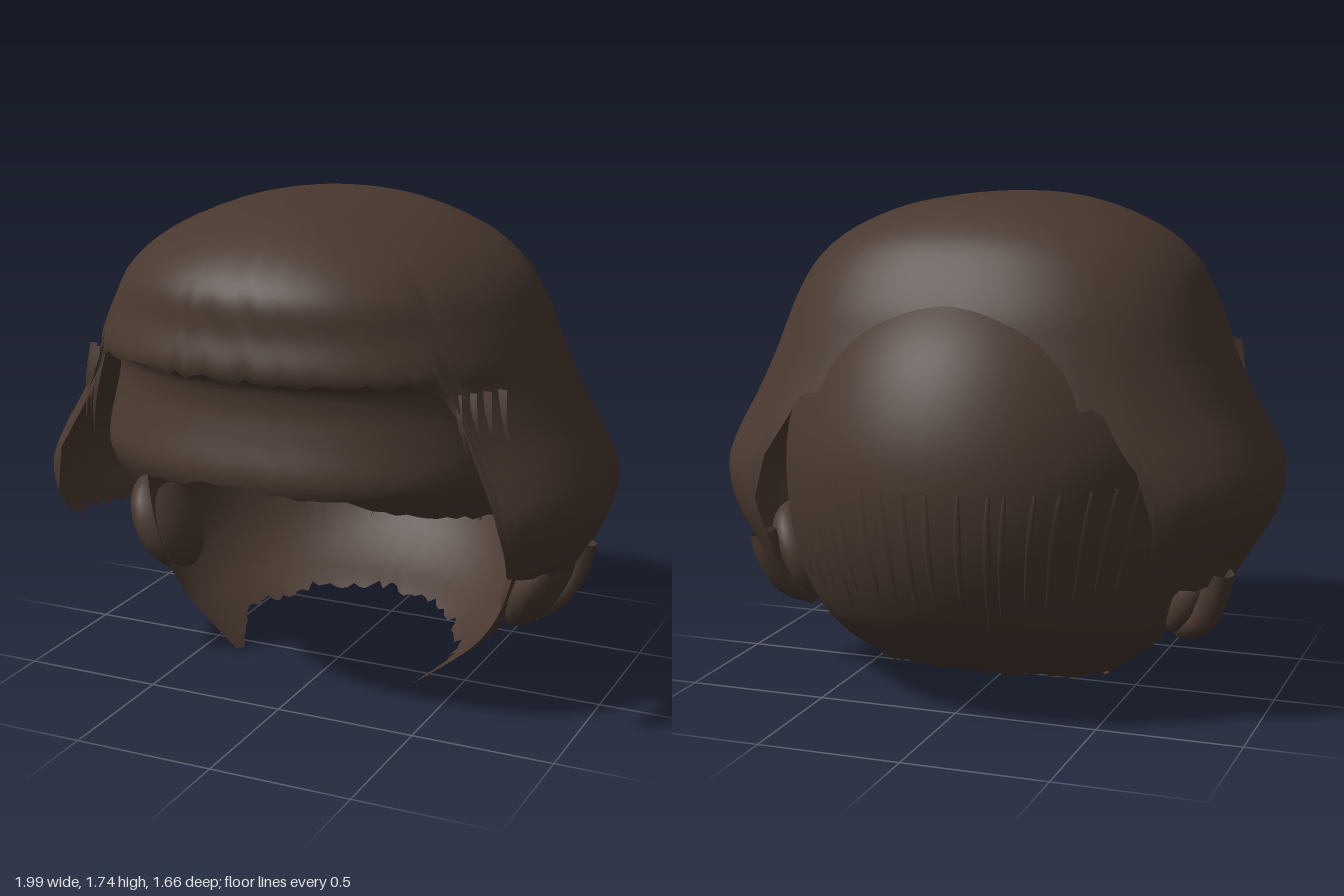
import * as THREE from 'three';

const hair = new THREE.MeshStandardMaterial({ color: 0x49382f, side: THREE.DoubleSide });

// Seeded noise for ragged ends
let seed = 7;
const rand = () => (seed = (seed * 16807) % 2147483647) / 2147483647;

// Piecewise linear lookup in a list of [key, value] pairs
function lookup(pairs, k) {
  for (let i = 1; i < pairs.length; i++) {
    const [k0, v0] = pairs[i - 1], [k1, v1] = pairs[i];
    if (k <= k1) return v0 + ((v1 - v0) * Math.max(0, k - k0)) / (k1 - k0);
  }
  return pairs[pairs.length - 1][1];
}

// Smooth profile row at fractional index t: [y, halfWidth, frontZ, backZ]
function profileAt(table, t) {
  const last = table.length - 1;
  const i = Math.min(Math.floor(t), last - 1), f = t - i;
  return table[0].map((_, c) => {
    const [a, b, d, e] = [-1, 0, 1, 2].map(o => table[Math.min(last, Math.max(0, i + o))][c]);
    return b + 0.5 * f * (d - a + f * (2 * a - 5 * b + 4 * d - e + f * (3 * (b - d) + e - a)));
  });
}

// Point of a rounded cross-section; angle 0 faces front
function shellPoint(table, n, deg, t) {
  const [y, rx, zf, zb] = profileAt(table, t);
  const a = THREE.MathUtils.degToRad(deg), s = Math.sin(a), c = Math.cos(a);
  const pw = v => Math.sign(v) * Math.abs(v) ** (2 / n);
  return [rx * pw(s), y, c > 0 ? zf * pw(c) : -zb * pw(c)];
}

const indexOfY = (table, y) => lookup(table.map((r, i) => [-r[0], i]), -y);

function gridMesh(name, cols, rows, fn, wrap = false) {
  const pos = [], idx = [], count = wrap ? cols : cols + 1;
  for (let r = 0; r <= rows; r++)
    for (let c = 0; c < count; c++) pos.push(...fn(c, r / rows));
  for (let r = 0; r < rows; r++)
    for (let c = 0; c < cols; c++) {
      const d = (c + 1) % count;
      const p = r * count + c, q = r * count + d;
      idx.push(p, p + count, q, q, p + count, q + count);
    }
  const g = new THREE.BufferGeometry();
  g.setAttribute('position', new THREE.Float32BufferAttribute(pos, 3));
  g.setIndex(idx);
  g.computeVertexNormals();
  const m = new THREE.Mesh(g, hair);
  m.name = name;
  return m;
}

// Sheet of hair following a profile table down to a ragged hem
function shell(name, { table, n, from, to, cols, rows, hem, ragged, wrap }) {
  const ends = [];
  for (let c = 0; c <= cols; c++) {
    const deg = from + ((to - from) * c) / cols;
    const a = Math.abs(deg > 180 ? deg - 360 : deg);
    ends.push([deg, indexOfY(table, lookup(hem, a) + (rand() - 0.5) * ragged)]);
  }
  return gridMesh(name, cols, rows, (c, v) => shellPoint(table, n, ends[c][0], ends[c][1] * v), wrap);
}

const crownTable = [
  [1.75, 0, 0, 0], [1.738, 0.18, 0.36, -0.18], [1.7, 0.36, 0.53, -0.29], [1.62, 0.54, 0.68, -0.41],
  [1.52, 0.66, 0.77, -0.49], [1.4, 0.73, 0.79, -0.56], [1.29, 0.775, 0.82, -0.6], [1.2, 0.81, 0.78, -0.63],
  [1.05, 0.88, 0.8, -0.68], [0.92, 0.95, 0.87, -0.73], [0.8, 0.995, 0.91, -0.75], [0.66, 0.97, 0.87, -0.74],
  [0.54, 0.9, 0.79, -0.7], [0.42, 0.84, 0.72, -0.64],
];

// Starts as the upper fringe's rolled-under edge, then bulges forward again
const fringeTable = [
  [1.27, 0.76, 0.81, -0.5], [1.235, 0.73, 0.745, -0.5], [1.15, 0.73, 0.73, -0.5], [1.05, 0.75, 0.75, -0.5],
  [0.93, 0.77, 0.78, -0.5], [0.84, 0.76, 0.74, -0.5], [0.74, 0.73, 0.64, -0.5],
];

const backTable = [
  [1.46, 0.45, 0.3, -0.5], [1.32, 0.58, 0.4, -0.65], [1.15, 0.68, 0.4, -0.755], [0.95, 0.75, 0.4, -0.82],
  [0.75, 0.76, 0.4, -0.825], [0.55, 0.745, 0.4, -0.775], [0.35, 0.69, 0.4, -0.67], [0.22, 0.61, 0.4, -0.54],
  [0.13, 0.51, 0.42, -0.4], [0, 0.33, 0.5, -0.28],
];

// Thin tapered lock along the back of the head, drawn in towards the middle
function strand(deg, top, bottom, lift, width) {
  return gridMesh('backStrand', 2, 10, (c, v) => {
    const t = indexOfY(backTable, top + (bottom - top) * v);
    const half = width * Math.sin(Math.PI * (0.15 + 0.85 * v)) + 0.02;
    const [x, y, z] = shellPoint(backTable, 2, deg - (deg - 180) * 0.12 * v + (c - 1) * half, t);
    const k = 1 + lift * (c === 1 ? 1.6 : 1);
    return [x * k, y, z * k];
  });
}

// Inturned curl below one side panel
function sideCurl(side) {
  const curl = new THREE.Group();
  curl.name = side > 0 ? 'leftCurl' : 'rightCurl';
  const g = new THREE.SphereGeometry(1, 20, 14);
  const p = g.attributes.position;
  for (let i = 0; i < p.count; i++) {
    const x = p.getX(i), y = p.getY(i), z = p.getZ(i);
    p.setXYZ(i, side * (0.745 + 0.105 * x + 0.07 * y), 0.42 + 0.18 * y, -0.06 + 0.17 * z);
  }
  if (side < 0) g.setIndex(Array.from(g.index.array).reverse());
  g.computeVertexNormals();
  const lump = new THREE.Mesh(g, hair);
  lump.name = 'curlBody';
  const path = new THREE.CatmullRomCurve3([
    [0.85, 0.52, -0.23], [0.83, 0.43, -0.22], [0.78, 0.33, -0.18], [0.7, 0.28, -0.11],
  ].map(([x, y, z]) => new THREE.Vector3(side * x, y, z)));
  const roll = new THREE.Mesh(new THREE.TubeGeometry(path, 14, 0.05, 10), hair);
  roll.name = 'curlRoll';
  curl.add(lump, roll);
  return curl;
}

export function createModel() {
  const model = new THREE.Group();
  model.name = 'bobHair';

  // Crown with upper fringe in front and long panels at the sides
  model.add(shell('crown', {
    table: crownTable, n: 2.3, from: 0, to: 360, cols: 144, rows: 36, ragged: 0.04, wrap: true,
    hem: [[0, 1.26], [42, 1.26], [49, 1.2], [53, 0.82], [58, 0.6], [75, 0.56], [92, 0.5],
      [115, 0.46], [134, 0.5], [139, 0.85], [145, 1.1], [180, 1.2]],
  }));

  // Lower fringe, joined to the edge of the upper one
  model.add(shell('lowerFringe', {
    table: fringeTable, n: 2.35, from: -72, to: 72, cols: 48, rows: 18, ragged: 0.025,
    hem: [[0, 0.9], [25, 0.87], [45, 0.8], [72, 0.76]],
  }));

  // Back of the head curving in to the nape, with points beside the neck
  model.add(shell('backHair', {
    table: backTable, n: 2, from: 75, to: 285, cols: 80, rows: 28, ragged: 0.025,
    hem: [[75, 0.03], [80, 0.02], [88, 0.04], [105, 0.08], [125, 0.1], [150, 0.13], [180, 0.145]],
  }));

  // Loose locks fanned over the back, inside and out
  for (let i = 0; i < 17; i++) {
    const deg = 180 + (i - 8) * 6.5 + 3 * (rand() - 0.5);
    const centre = 1 - Math.abs(i - 8) / 8;
    const bottom = 0.42 - 0.1 * centre + 0.12 * rand();
    model.add(strand(deg, 0.82 + 0.08 * centre, bottom, -0.025, 0.7 + 0.7 * rand()));
    model.add(strand(deg + 3, 0.85, bottom, 0.01, 0.7 + 0.7 * rand()));
  }

  // Thin wisps hanging at the temples
  for (const side of [1, -1])
    for (let i = 0; i < 4; i++) {
      const x = 0.65 + 0.035 * i, z = 0.52 - 0.04 * i, len = 0.18 + 0.18 * rand();
      model.add(gridMesh('templeWisp', 1, 5, (c, v) => [
        side * (x + 0.04 * v + (c - 0.5) * 0.03 * (1 - v)), 1.22 - len * v, z + 0.02 * Math.sin(3 * v),
      ]));
    }

  model.add(sideCurl(1), sideCurl(-1));
  return model;
}
